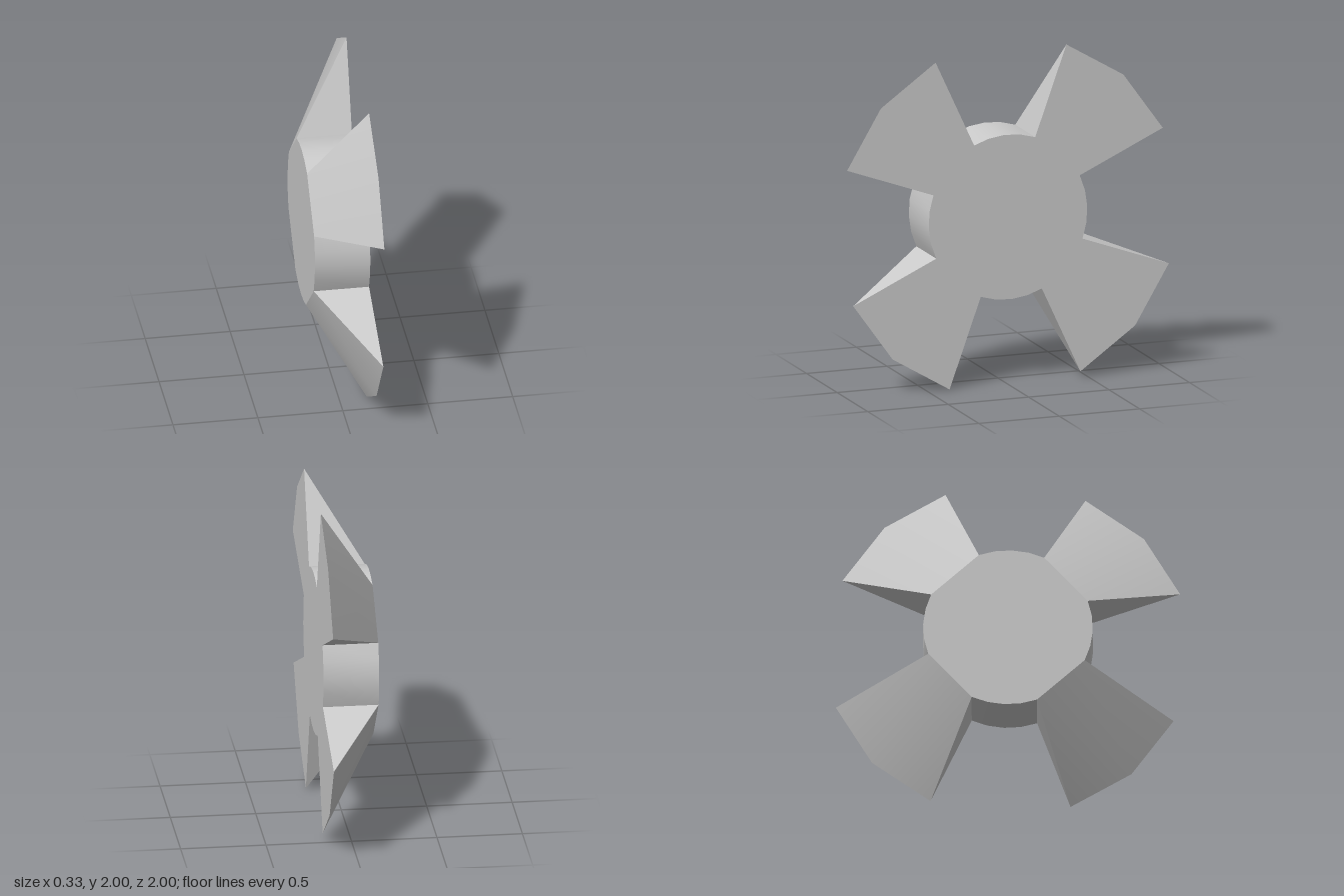
import * as THREE from 'three';
import { toCreasedNormals } from 'three/addons/utils/BufferGeometryUtils.js';

const HALF = 0.163; // half the thickness
const R = 0.493; // hub radius
const START = 2.012, END = 2.791; // angles of the two blade root corners
const QUARTER = Math.PI / 2;
const ARC_STEPS = 4;

const material = new THREE.MeshStandardMaterial({ color: 0xcccccc });

const polar = (angle) => [R * Math.cos(angle), R * Math.sin(angle)];

// Builds a mesh from a list of triangles, each with three [x, y, z] corners
function meshFrom(name, triangles) {
  const geometry = new THREE.BufferGeometry();
  geometry.setAttribute('position', new THREE.Float32BufferAttribute(triangles.flat(2), 3));
  const mesh = new THREE.Mesh(toCreasedNormals(geometry, 0.6), material);
  mesh.name = name;
  return mesh;
}

// Hub: two flat faces, and a curved wall only in the gaps between blades
function createHub() {
  const triangles = [];
  const flat = (p, q) => {
    triangles.push([[0, 0, HALF], [...p, HALF], [...q, HALF]]);
    triangles.push([[0, 0, -HALF], [...q, -HALF], [...p, -HALF]]);
  };
  for (let k = 0; k < 4; k++) {
    const turn = k * QUARTER;
    flat(polar(START + turn), polar(END + turn));
    const step = (START + QUARTER - END) / ARC_STEPS;
    for (let i = 0; i < ARC_STEPS; i++) {
      const p = polar(END + turn + i * step);
      const q = polar(END + turn + (i + 1) * step);
      flat(p, q);
      triangles.push([[...p, -HALF], [...q, -HALF], [...q, HALF]]);
      triangles.push([[...p, -HALF], [...q, HALF], [...p, HALF]]);
    }
  }
  return meshFrom('hub', triangles);
}

// Blade: flat on one side, sloping from the hub to a thin three-point tip
function createBlade(index) {
  const a = [...polar(START), HALF], e = [...polar(END), HALF];
  const aLow = [...polar(START), -HALF], eLow = [...polar(END), -HALF];
  const b = [-0.45, 0.962, HALF], c = [-0.79, 0.717, HALF], d = [-1, 0.363, HALF];
  const blade = meshFrom('blade' + (index + 1), [
    [a, b, c], [a, c, e], [e, c, d], // flat face
    [aLow, c, b], [aLow, eLow, c], [eLow, d, c], // slope
    [a, aLow, b], [e, d, eLow], // sides
  ]);
  blade.rotation.z = index * QUARTER;
  return blade;
}

export function createModel() {
  const rotor = new THREE.Group();
  rotor.name = 'rotor';
  rotor.add(createHub());
  for (let i = 0; i < 4; i++) rotor.add(createBlade(i));
  rotor.rotation.y = QUARTER; // flat face towards +x
  rotor.position.y = 1;

  const model = new THREE.Group();
  model.name = 'fourBladeRotor';
  model.add(rotor);
  return model;
}
